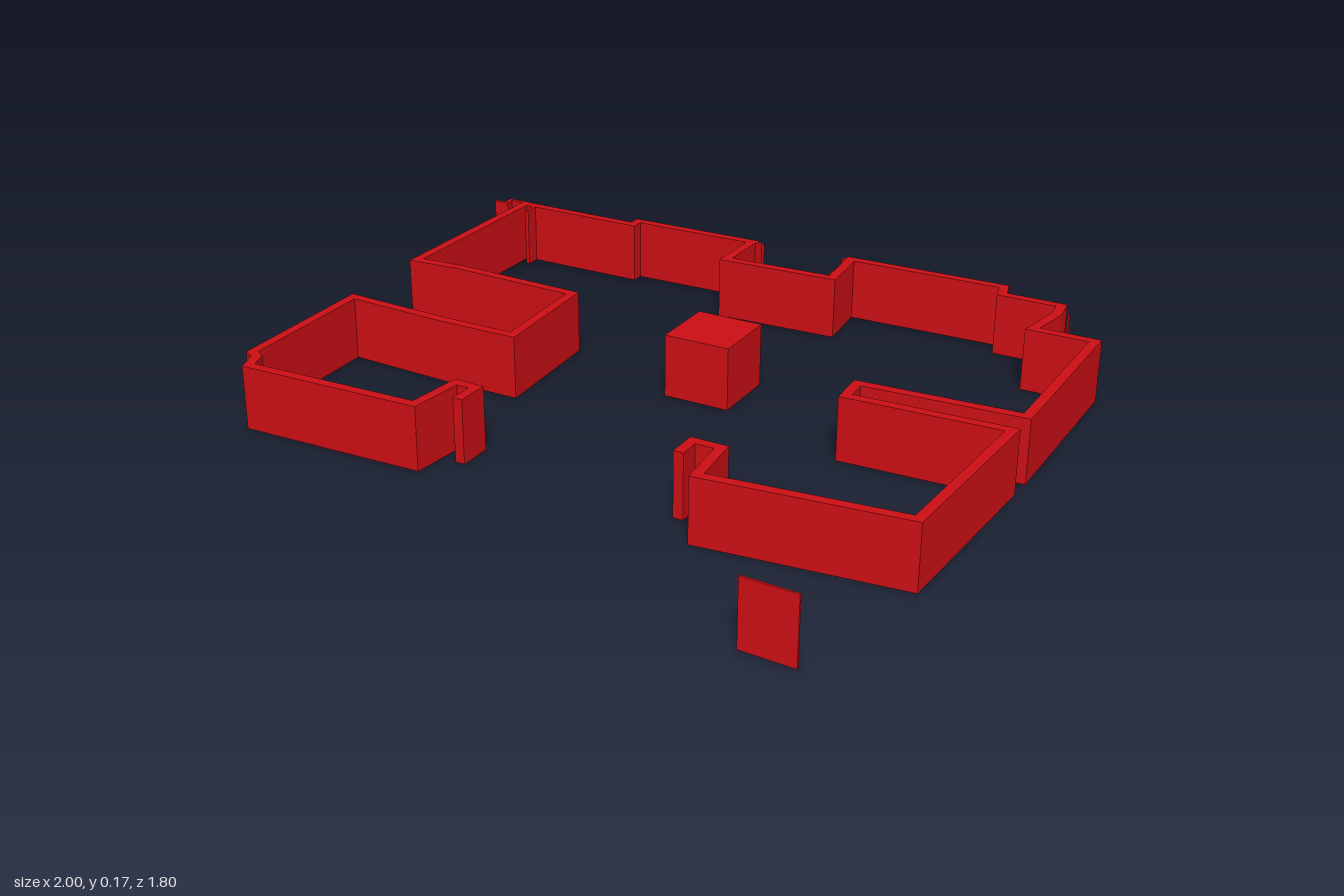
import * as THREE from 'three';

const HEIGHT = 0.175;
const red = new THREE.MeshStandardMaterial({ color: 0xcc0f14, side: THREE.DoubleSide });

// Mitred strip of the given width around a plan path of [x, z] points
function wall(name, points, width = 0.027) {
  const p = points.map(([x, z]) => new THREE.Vector2(x, -z));
  const left = [], right = [];
  p.forEach((c, i) => {
    const a = p[Math.max(i - 1, 0)], b = p[Math.min(i + 1, p.length - 1)];
    const d1 = (i ? c.clone().sub(a) : b.clone().sub(c)).normalize();
    const d2 = (i < p.length - 1 ? b.clone().sub(c) : d1.clone()).normalize();
    const n1 = new THREE.Vector2(-d1.y, d1.x), n2 = new THREE.Vector2(-d2.y, d2.x);
    const m = n1.clone().add(n2).normalize();
    m.multiplyScalar(width / 2 / Math.max(m.dot(n1), 0.5));
    left.push(c.clone().add(m));
    right.unshift(c.clone().sub(m));
  });
  const geo = new THREE.ExtrudeGeometry(new THREE.Shape([...left, ...right]), { depth: HEIGHT, bevelEnabled: false });
  geo.rotateX(-Math.PI / 2);
  const mesh = new THREE.Mesh(geo, red);
  mesh.name = name;
  return mesh;
}

export function createModel() {
  const group = new THREE.Group();
  group.name = 'floorPlanWalls';

  // Perimeter, from one side of the front opening round to the other
  group.add(wall('perimeterWall', [
    [-0.25, 0.48], [-0.25, 0.4], [-0.31, 0.4], [-0.325, 0.555], [-0.825, 0.575],
    [-0.845, 0.52], [-0.873, 0.505], [-0.885, 0.07], [-0.57, 0.083], [-0.355, 0.08],
    [-0.375, -0.25], [-0.76, -0.262], [-0.905, -0.25], [-0.905, -0.825], [-0.515, -0.825],
    [-0.515, -0.86], [-0.13, -0.868], [-0.13, -0.7], [0.2, -0.715], [0.185, -0.88],
    [0.645, -0.892], [0.66, -0.835], [0.83, -0.835], [0.838, -0.77], [0.815, -0.64],
    [0.985, -0.64], [0.985, -0.115], [0.555, -0.09], [0.56, -0.007], [0.98, -0.025],
    [0.955, 0.49], [0.445, 0.545], [0.43, 0.395], [0.355, 0.395], [0.355, 0.465],
  ]));

  // Small ragged spurs at the back corners
  group.add(wall('cornerSpur', [[-1, -0.803], [-0.96, -0.805], [-0.965, -0.835], [-0.9, -0.835]], 0.012));
  group.add(wall('innerSpur', [[-0.865, -0.82], [-0.865, -0.77]], 0.012));
  group.add(wall('recessSpurLeft', [[-0.13, -0.873], [-0.09, -0.86]], 0.012));
  group.add(wall('recessSpurRight', [[0.19, -0.885], [0.16, -0.865]], 0.012));
  group.add(wall('recessSpurInner', [[0.19, -0.76], [0.175, -0.755]], 0.01));
  group.add(wall('looseChip', [[0.865, -0.782], [0.873, -0.775]], 0.004));

  // Thin detached panel in front
  group.add(wall('frontPanel', [[0.73, 0.891], [0.8, 0.894], [0.87, 0.896]], 0.006));

  // Central block
  const block = new THREE.Mesh(new THREE.BoxGeometry(0.187, HEIGHT, 0.19), red);
  block.name = 'centralBlock';
  block.position.set(0.087, HEIGHT / 2, -0.213);
  group.add(block);
  return group;
}
